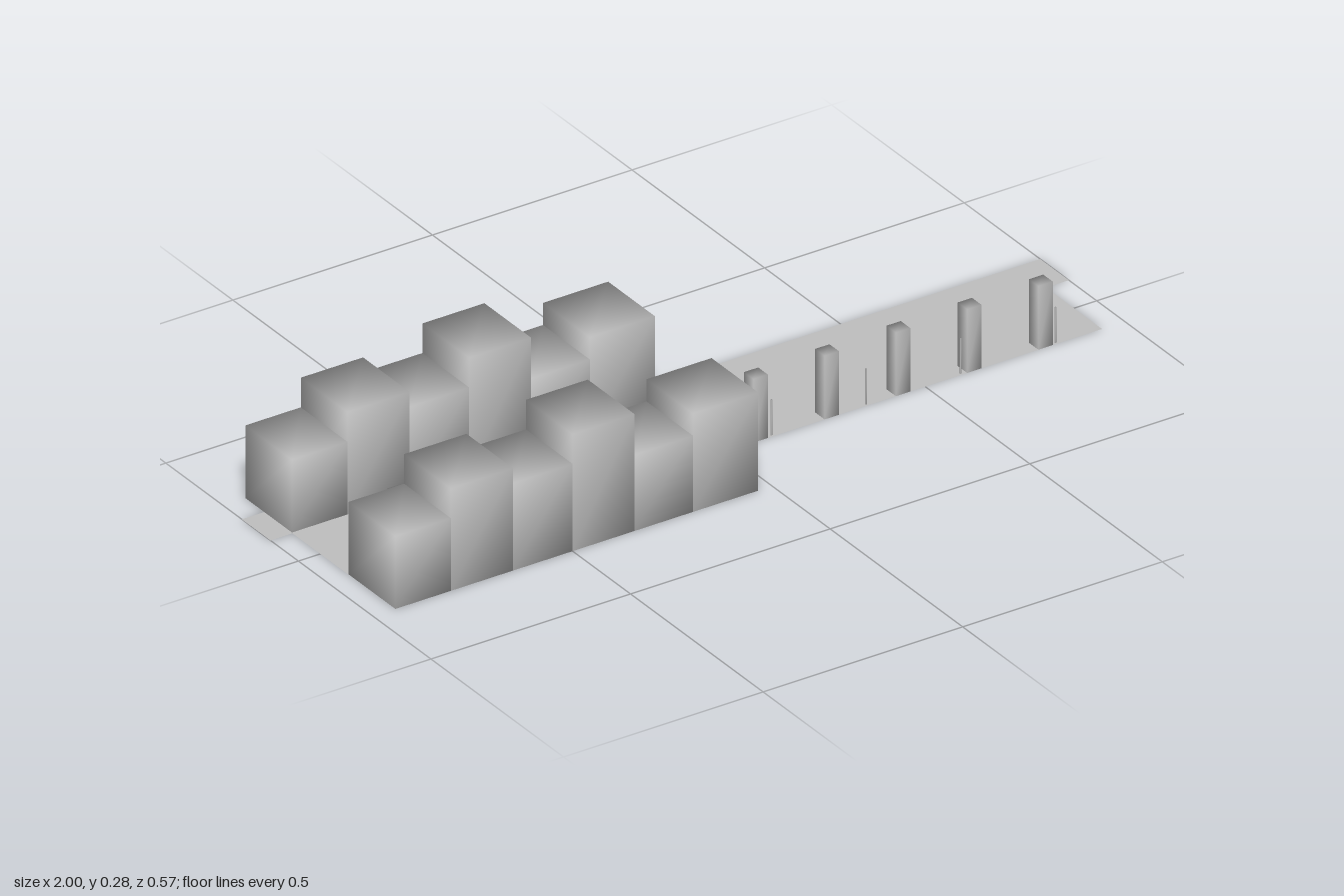
import * as THREE from 'three';
import { mergeVertices } from 'three/addons/utils/BufferGeometryUtils.js';

const GREY = new THREE.MeshStandardMaterial({ color: 0xbfbfbf, side: THREE.DoubleSide });
GREY.name = 'plainGrey';

// Box with shared corners, so the shading runs smoothly over its edges
function softBox(name, x0, x1, y0, y1, z0, z1) {
  const box = new THREE.BoxGeometry(x1 - x0, y1 - y0, z1 - z0);
  box.deleteAttribute('normal');
  box.deleteAttribute('uv');
  const geometry = mergeVertices(box);
  geometry.computeVertexNormals();
  const mesh = new THREE.Mesh(geometry, GREY);
  mesh.name = name;
  mesh.position.set((x0 + x1) / 2, (y0 + y1) / 2, (z0 + z1) / 2);
  return mesh;
}

// Flat ground sheet
function sheet(name, x0, x1, z0, z1) {
  const geometry = new THREE.PlaneGeometry(x1 - x0, z1 - z0).rotateX(-Math.PI / 2);
  const mesh = new THREE.Mesh(geometry, GREY);
  mesh.name = name;
  mesh.position.set((x0 + x1) / 2, 0, (z0 + z1) / 2);
  return mesh;
}

export function createModel() {
  const model = new THREE.Group();
  model.name = 'street';

  // Ground: long back strip and the wider street in front of it
  model.add(sheet('backStrip', -1, 1, -0.213, -0.105));
  model.add(sheet('streetSurface', -0.945, 0.943, -0.105, 0.106));

  // Two facing rows of buildings
  const edges = [-0.945, -0.806, -0.65, -0.501, -0.346, -0.199, -0.036];
  const heights = [0.175, 0.246, 0.21, 0.281, 0.183, 0.236];
  for (const [row, z0, z1] of [['front', 0.107, 0.283], ['back', -0.283, -0.107]]) {
    const group = new THREE.Group();
    group.name = row + 'Buildings';
    heights.forEach((h, i) => {
      group.add(softBox('building', edges[i], edges[i + 1], 0.001, h, z0, z1));
    });
    model.add(group);
  }

  // Line of square pillars
  const pillars = new THREE.Group();
  pillars.name = 'pillars';
  for (let i = 0; i < 10; i++) {
    const x = -0.805 + i * 0.1785;
    pillars.add(softBox('pillar', x - 0.018, x + 0.018, 0, 0.152, 0.07, 0.106));
  }
  model.add(pillars);

  // Thin posts between the pillars
  const posts = new THREE.Group();
  posts.name = 'posts';
  for (let i = 0; i < 8; i++) {
    const x = -0.83 + i * 0.2371;
    posts.add(softBox('post', x - 0.0015, x + 0.0015, 0, 0.085, 0.0985, 0.1015));
  }
  model.add(posts);

  // Small hanging plate in the middle
  model.add(softBox('signPlate', -0.02, 0.02, 0.044, 0.056, 0.099, 0.101));

  return model;
}
